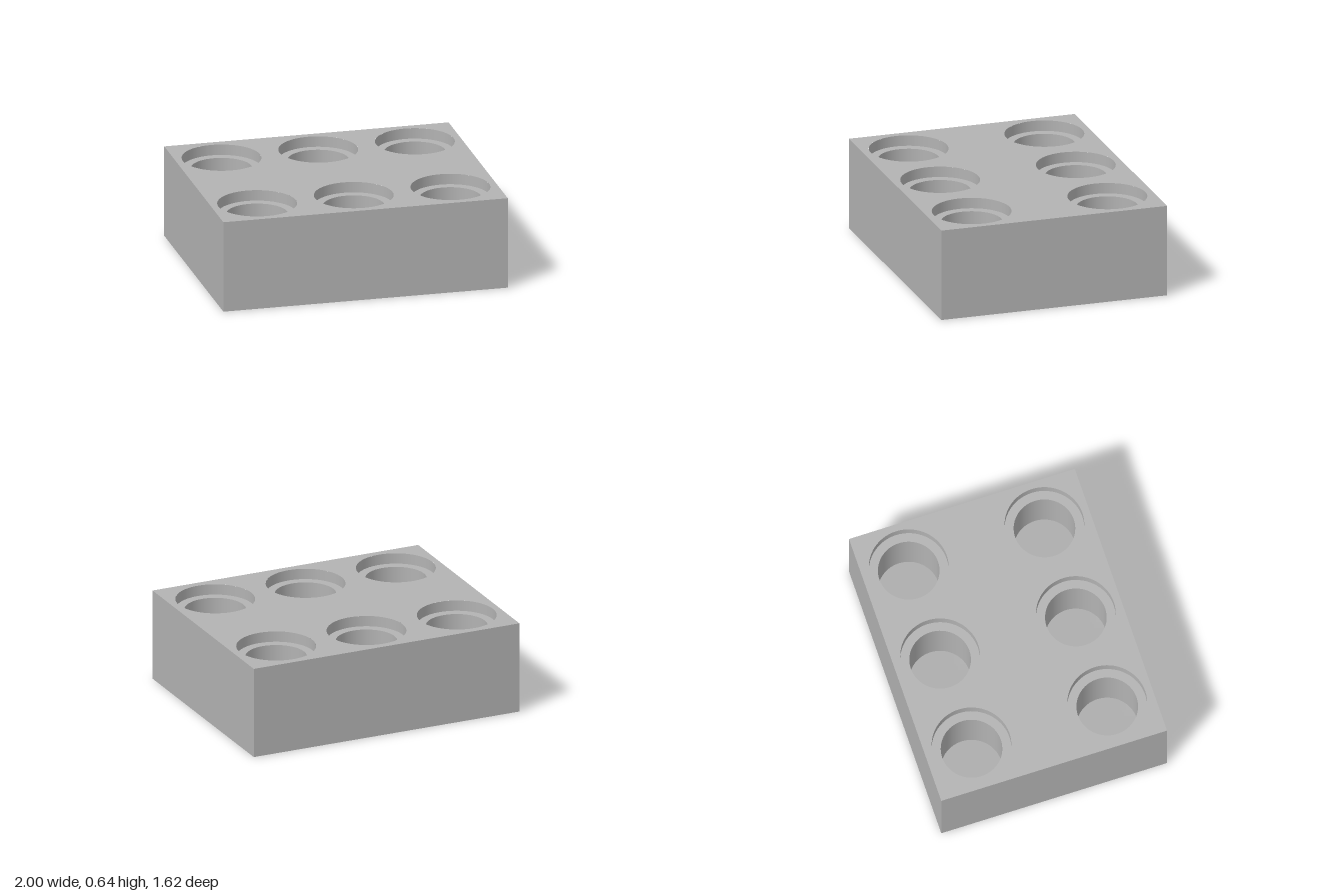
import * as THREE from 'three';

const W = 2, H = 0.645, D = 1.62;            // block size
const R = 0.272, BORE = 0.21;                // recess and through-bore radii
const SEGMENTS = 64;
const holes = [-0.487, 0.487].flatMap(z => [-0.68, 0, 0.68].map(x => [x, z]));

export function createModel() {
  const group = new THREE.Group();
  group.name = 'drilledBlock';
  const grey = new THREE.MeshStandardMaterial({ color: 0xb2b2b2 });
  grey.name = 'grey';

  const add = (name, geometry, parent = group) => {
    const mesh = new THREE.Mesh(geometry, grey);
    mesh.name = name;
    parent.add(mesh);
    return mesh;
  };

  // Top and bottom faces, pierced by the six holes
  const outline = new THREE.Shape([
    new THREE.Vector2(-W / 2, -D / 2), new THREE.Vector2(W / 2, -D / 2),
    new THREE.Vector2(W / 2, D / 2), new THREE.Vector2(-W / 2, D / 2),
  ]);
  for (const [x, z] of holes) {
    outline.holes.push(new THREE.Path().absarc(x, z, R, 0, Math.PI * 2, true));
  }
  const face = new THREE.ShapeGeometry(outline, SEGMENTS);
  add('topFace', face.clone().rotateX(-Math.PI / 2).translate(0, H, 0));
  add('bottomFace', face.clone().rotateX(Math.PI / 2));

  // Four outer walls
  ['frontWall', 'leftWall', 'backWall', 'rightWall'].forEach((name, i) => {
    const [width, offset] = i % 2 ? [D, W / 2] : [W, D / 2];
    add(name, new THREE.PlaneGeometry(width, H)
      .translate(0, H / 2, offset).rotateY(i * Math.PI / 2));
  });

  // Hole lining from top to bottom; separate sections keep the edges sharp
  const profile = [[R, H], [R, H - 0.075], [BORE, H - 0.075], [BORE, 0.17], [R, 0.08], [R, 0]]
    .map(([r, y]) => new THREE.Vector2(r, y));
  const names = ['counterbore', 'ledge', 'bore', 'cone', 'lowerRecess'];
  const sections = names.map((_, i) =>
    new THREE.LatheGeometry([profile[i], profile[i + 1]], SEGMENTS));
  for (const [x, z] of holes) {
    const hole = new THREE.Group();
    hole.name = 'steppedHole';
    hole.position.set(x, 0, z);
    sections.forEach((geometry, i) => add(names[i], geometry, hole));
    group.add(hole);
  }
  return group;
}
